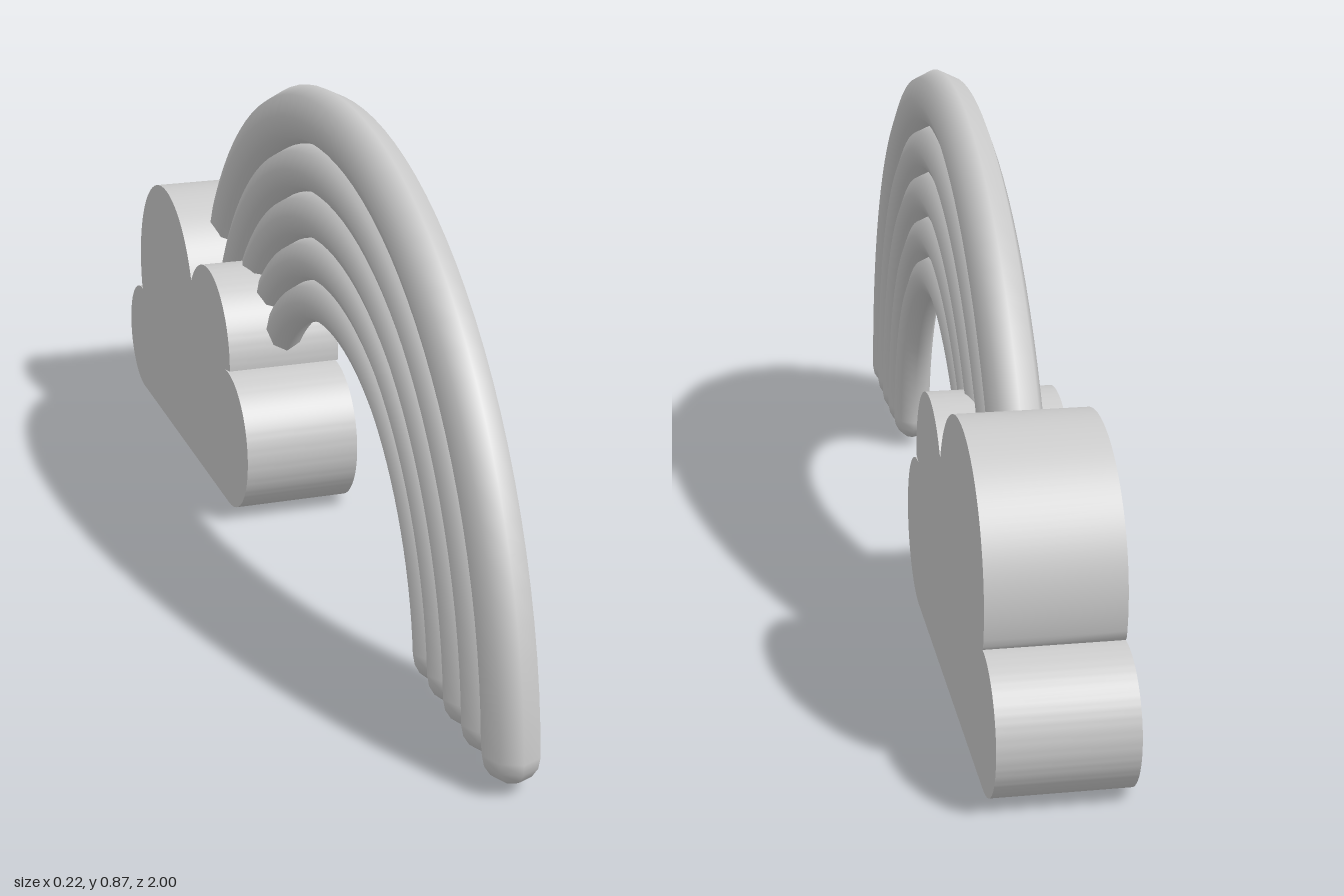
import * as THREE from 'three';
import { toCreasedNormals } from 'three/addons/utils/BufferGeometryUtils.js';

const material = new THREE.MeshStandardMaterial({ color: 0xcccccc });

function add(parent, geometry, name) {
  const mesh = new THREE.Mesh(geometry, material);
  mesh.name = name;
  parent.add(mesh);
  return mesh;
}

// Everything is drawn in a side profile (u, y), then turned so that u runs along -z.
const ARCH_U = -0.13, ARCH_Y = 0.008;

// One band: an eight-sided oval tube, buried in the cloud at one end, rounded at the foot.
function makeBand(inner, outer, halfWidth, shift, index) {
  const band = new THREE.Group();
  band.name = 'rainbowBand' + (index + 1);
  const R = (inner + outer) / 2, r = (outer - inner) / 2;
  const buried = 0.15, foot = Math.asin(0.056 / R);

  const tube = new THREE.TorusGeometry(R, r, 8, 48, Math.PI - foot - buried);
  tube.rotateZ(buried);
  tube.scale(1, 1, halfWidth / r);
  add(band, tube, 'bandTube');

  const cap = new THREE.SphereGeometry(1, 8, 8);
  cap.scale(r, 0.048, halfWidth);
  cap.rotateZ(-foot);
  cap.translate(-R * Math.cos(foot), R * Math.sin(foot), 0);
  add(band, cap, 'bandFoot');

  band.position.set(ARCH_U, ARCH_Y, shift);
  return band;
}

// Cloud: four round lobes over a flat base, as [u, y, radius, start degrees, end degrees]
function makeCloud() {
  const lobes = [
    [0.887, 0.116, 0.113, -90, 93],
    [0.672, 0.289, 0.221, -14, 157],
    [0.345, 0.287, 0.152, 36.5, 183],
    [0.212, 0.138, 0.135, 85, 270],
  ];
  const shape = new THREE.Shape();
  for (const [u, y, r, a, b] of lobes) {
    shape.absarc(u, y, r, THREE.MathUtils.degToRad(a), THREE.MathUtils.degToRad(b), false);
  }
  const geometry = new THREE.ExtrudeGeometry(shape, { depth: 0.216, bevelEnabled: false, curveSegments: 28 });
  geometry.translate(0, 0, -0.108);
  return toCreasedNormals(geometry, 0.5);
}

export function createModel() {
  const model = new THREE.Group();
  model.name = 'rainbowWithCloud';
  const profile = new THREE.Group();
  profile.name = 'rainbowAndCloud';
  profile.rotation.y = Math.PI / 2;
  model.add(profile);

  // Bands from the outside in: edge radii, half width and sideways offset
  const edges = [0.87, 0.767, 0.681, 0.597, 0.52, 0.445];
  const halfWidths = [0.046, 0.044, 0.043, 0.04, 0.037];
  const shifts = [0, 0.002, 0.004, 0.005, 0.006];
  for (let i = 0; i < 5; i++) {
    profile.add(makeBand(edges[i + 1] - 0.003, edges[i], halfWidths[i], shifts[i], i));
  }

  add(profile, makeCloud(), 'cloud');
  return model;
}
